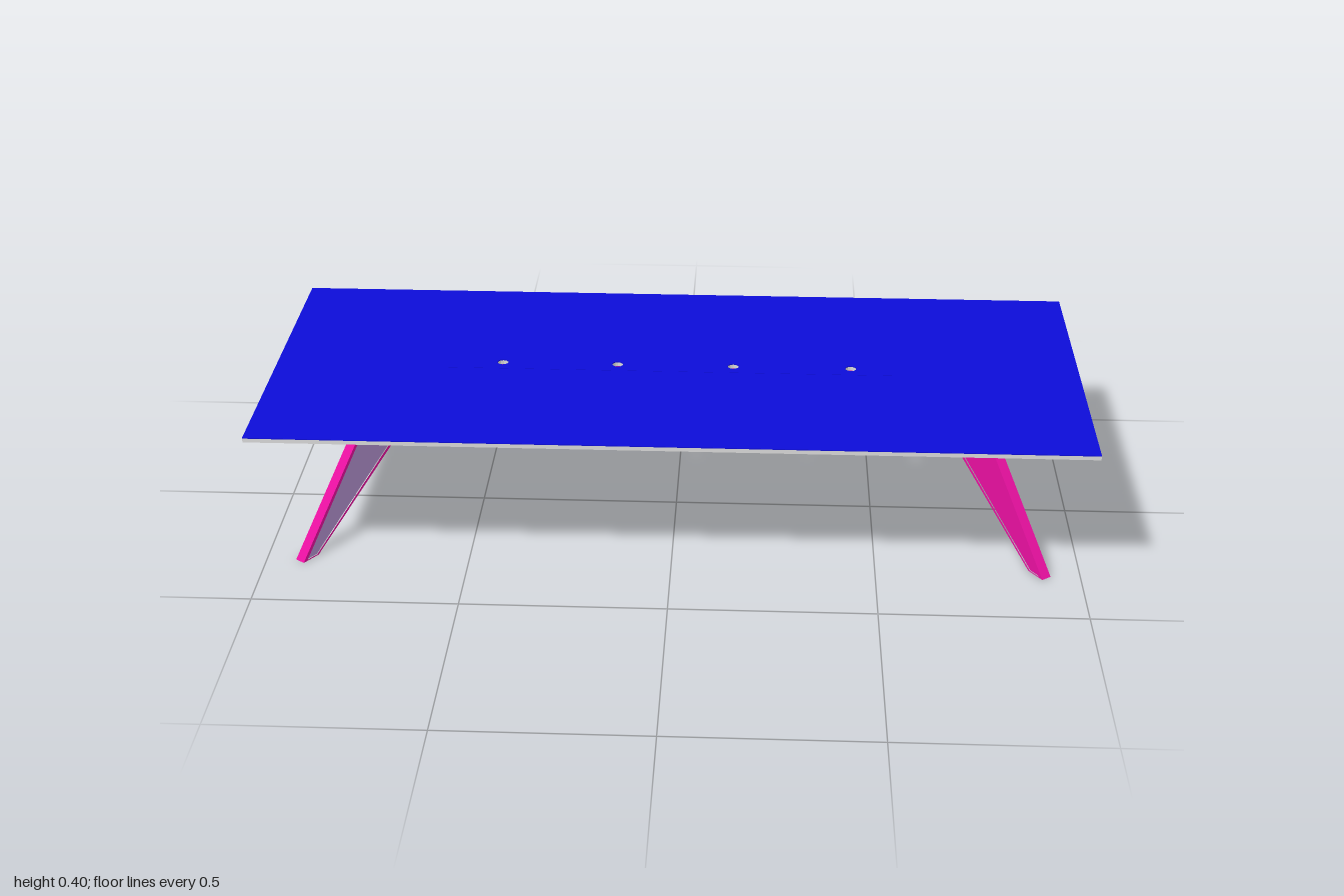
import * as THREE from 'three';

const material = (name, color) => {
  const m = new THREE.MeshStandardMaterial({ color });
  m.name = name;
  return m;
};

export function createModel() {
  const root = new THREE.Group();
  root.name = 'trussTable';
  const blue = material('top blue', 0x0c0cd8);
  const grey = material('board grey', 0xdcdcdc);
  const steel = material('truss blue', 0x4a9edb);
  const purple = material('rib purple', 0xb492d0);
  const magenta = material('edge magenta', 0xe810a0);
  const yellow = material('panel yellow', 0xe6d010);

  const add = (parent, name, geo, mat, x = 0, y = 0, z = 0) => {
    const m = new THREE.Mesh(geo, mat);
    m.name = name;
    m.position.set(x, y, z);
    parent.add(m);
    return m;
  };
  const box = (name, mat, w, h, d, x, y, z) => add(root, name, new THREE.BoxGeometry(w, h, d), mat, x, y, z);
  const outline = (pts) => new THREE.Shape(pts.map((p) => new THREE.Vector2(p[0], p[1])));
  // Plate of a given thickness, centred on its own plane
  const plate = (shape, t) => new THREE.ExtrudeGeometry(shape, { depth: t, bevelEnabled: false, curveSegments: 6 }).translate(0, 0, -t / 2);

  // Table top: grey board, blue surface and centre lid, pierced by cable holes
  const pierced = (w, d) => {
    const s = outline([[-w, -d], [w, -d], [w, d], [-w, d]]);
    for (const x of [-0.435, -0.147, 0.142, 0.435]) s.holes.push(new THREE.Path().absarc(x, 0, 0.014, 0, Math.PI * 2, true));
    return s;
  };
  const layer = (name, w, d, t, y, mat) => add(root, name, plate(pierced(w, d), t).rotateX(-Math.PI / 2), mat, 0, y, 0);
  layer('topBoard', 1, 0.42, 0.01, 0.39, grey);
  layer('topSurface', 1, 0.42, 0.002, 0.396, blue);
  layer('centreLid', 0.57, 0.035, 0.001, 0.397, blue);

  // Side trusses with triangular openings
  const pitch = 0.2435, low = 0.24, high = 0.345, half = 0.088;
  const truss = outline([[-0.71, 0.205], [0.71, 0.205], [0.89, 0.385], [-0.89, 0.385]]);
  const opening = (pts) => truss.holes.push(outline(pts));
  for (let i = -3; i < 3; i++) {
    const x = (i + 0.5) * pitch;
    opening([[x - half, low], [x, high], [x + half, low]]);
  }
  for (let i = -2; i <= 2; i++) {
    const x = i * pitch;
    opening([[x - half, high], [x + half, high], [x, low]]);
  }
  for (const s of [-1, 1]) opening([[s * 0.645, high], [s * 0.8, high], [s * 0.725, 0.255]]);
  for (const s of [-1, 1]) {
    add(root, 'sideTruss', plate(truss, 0.012), steel, 0, 0, s * 0.046);
    box('trayWall', magenta, 1.14, 0.03, 0.004, 0, 0.365, s * 0.034);
    box('bottomFlange', steel, 1.4, 0.008, 0.016, 0, 0.209, s * 0.032);
    box('socketStrip', yellow, 0.24, 0.006, 0.004, -0.245, 0.212, s * 0.053);
  }
  // Cross boards between the trusses, and bolts in the lower chord
  for (let i = -2; i <= 2; i++) {
    box('lowerCrossBoard', steel, 0.03, 0.03, 0.08, i * pitch, 0.222, 0);
    for (const s of [-1, 1]) {
      const brace = box('diagonalBrace', steel, 0.035, 0.16, 0.01, i * pitch + s * 0.055, 0.29, s * 0.03);
      brace.rotation.z = -s * 0.705;
    }
  }
  for (let i = -3; i < 3; i++)
    add(root, 'chordBolt', new THREE.CylinderGeometry(0.005, 0.005, 0.108, 8).rotateX(Math.PI / 2), yellow, (i + 0.5) * pitch, 0.212, 0);

  // Tapered ribs under the top
  const rib = outline([[-0.395, 0.385], [-0.395, 0.375], [-0.09, 0.343], [0.09, 0.343], [0.395, 0.375], [0.395, 0.385]]);
  const ribGeo = plate(rib, 0.009).rotateY(Math.PI / 2);
  for (let i = -7; i < 7; i++) {
    const x = (i + 0.5) * pitch / 2;
    add(root, 'rib', ribGeo, purple, x);
    for (const s of [-1, 1]) box('ribCleat', magenta, 0.015, 0.03, 0.006, x, 0.366, s * 0.055);
  }

  // End panels closing the truss
  for (const s of [-1, 1]) {
    box('endPanel', yellow, 0.01, 0.133, 0.08, s * 0.72, 0.2765, 0);
    box('endPanelBacking', magenta, 0.008, 0.133, 0.08, s * 0.711, 0.2765, 0);
    box('endSill', grey, 0.03, 0.008, 0.08, s * 0.71, 0.209, 0);
  }

  // Splayed legs: a magenta rim around two face panels
  const legOutline = [[0, 0.205], [0, 0.385], [0.025, 0.385], [0.335, 0], [0.285, 0]];
  const inner = [[0.008, 0.209], [0.008, 0.377], [0.021, 0.377], [0.321, 0.003], [0.289, 0.003]];
  const rim = outline(legOutline);
  rim.holes.push(outline(inner));
  const rimGeo = plate(rim, 0.027);
  const panelGeo = plate(outline(inner), 0.008);
  const boltGeo = new THREE.CylinderGeometry(0.005, 0.005, 0.004, 8).rotateX(Math.PI / 2);
  for (const sx of [-1, 1]) for (const sz of [-1, 1]) {
    const leg = new THREE.Group();
    leg.name = 'leg';
    leg.position.set(sx * 0.72, 0, sz * 0.055);
    leg.rotation.y = Math.atan2(-sz * 0.81, sx * 0.588);
    const side = -sx * sz; // local side that looks towards the table end
    add(leg, 'legRim', rimGeo, magenta);
    add(leg, 'legEndPanel', panelGeo, yellow, 0, 0, side * 0.007);
    add(leg, 'legSidePanel', panelGeo, sx > 0 ? magenta : purple, 0, 0, -side * 0.007);
    for (const [s, y] of [[0.022, 0.345], [0.022, 0.22], [0.29, 0.022]]) add(leg, 'legBolt', boltGeo, yellow, s, y, side * 0.012);
    root.add(leg);
    // Mounting plate between leg and truss
    const mount = outline([[0.05, 0.205], [0.05, 0.385], [0.06, 0.385], [0.085, 0.345], [0.085, 0.2]].map(([z, y]) => [-sz * z, y]));
    add(root, 'legMount', plate(mount, 0.008).rotateY(Math.PI / 2), magenta, sx * 0.71);
  }
  return root;
}
